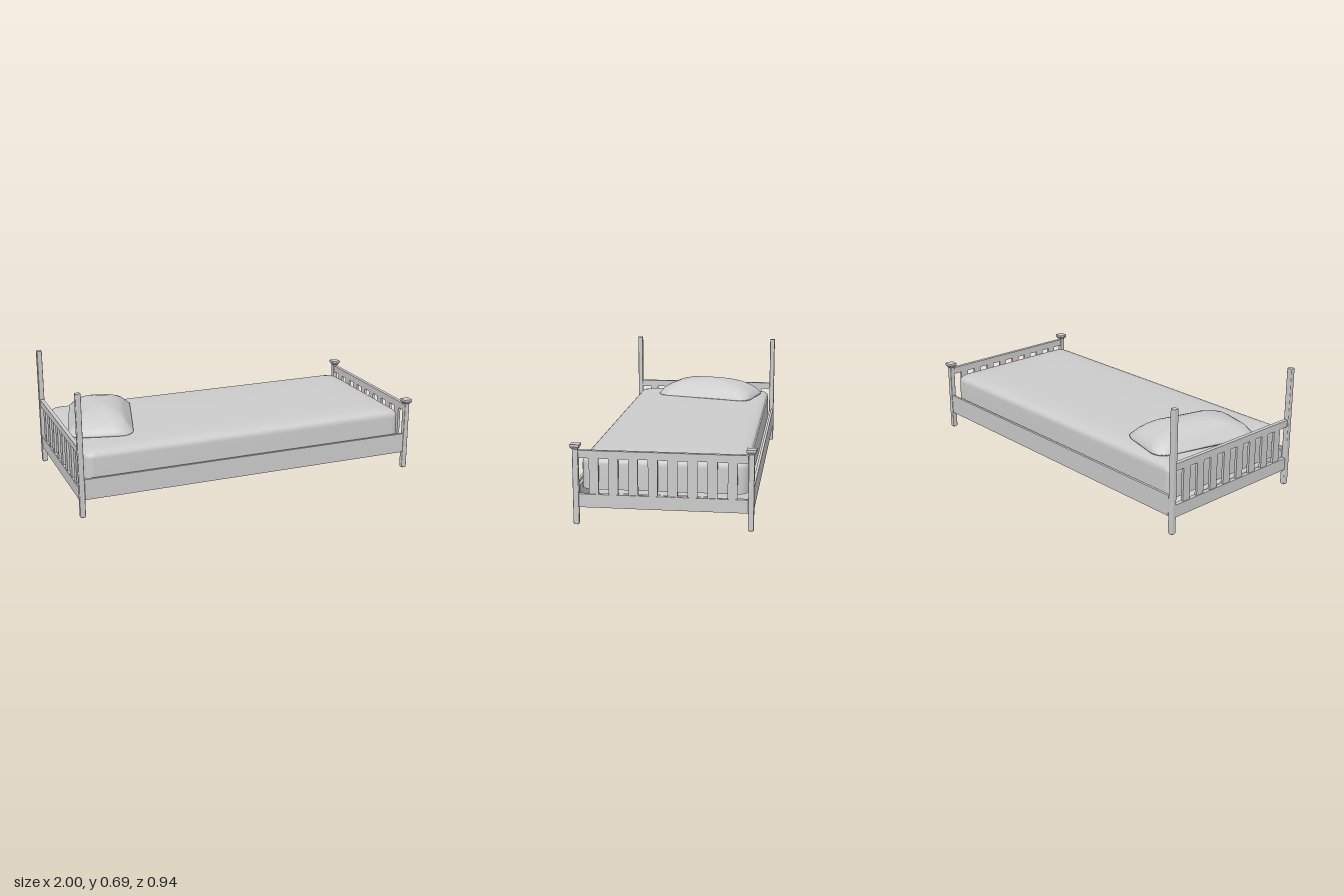
import * as THREE from 'three';

const gray = new THREE.MeshStandardMaterial({ color: 0xcccccc, side: THREE.DoubleSide });
gray.name = 'light gray';

function add(parent, name, geometry, x = 0, y = 0, z = 0) {
  const mesh = new THREE.Mesh(geometry, gray);
  mesh.name = name;
  mesh.position.set(x, y, z);
  parent.add(mesh);
  return mesh;
}

// Box given by its centre in x and z and its bottom and top heights
function box(parent, name, x, z, width, depth, bottom, top) {
  return add(parent, name, new THREE.BoxGeometry(width, top - bottom, depth), x, (bottom + top) / 2, z);
}

// Skin over rounded rectangles stacked upward: [y, half x, half z, corner radius].
// A repeated ring makes a sharp edge; a ring of size zero closes an end.
function loft(rings, cornerSteps = 6) {
  const positions = [], index = [], n = 4 * (cornerSteps + 1);
  for (const [y, hx, hz, r] of rings) {
    for (let c = 0; c < 4; c++) {
      const sx = c === 0 || c === 3 ? 1 : -1, sz = c < 2 ? 1 : -1;
      for (let k = 0; k <= cornerSteps; k++) {
        const a = (c + k / cornerSteps) * Math.PI / 2;
        positions.push(sx * (hx - r) + r * Math.cos(a), y, sz * (hz - r) + r * Math.sin(a));
      }
    }
  }
  for (let j = 0; j < rings.length - 1; j++) {
    for (let i = 0; i < n; i++) {
      const a = j * n + i, an = j * n + (i + 1) % n;
      index.push(a, a + n, an, an, a + n, an + n);
    }
  }
  const g = new THREE.BufferGeometry();
  g.setAttribute('position', new THREE.Float32BufferAttribute(positions, 3));
  g.setIndex(index);
  g.computeVertexNormals();
  return g;
}

// Square post with softened edges and a small bevel at the foot
function postShaft(height) {
  const foot = [0.006, 0.015, 0.015, 0.005], top = [height, 0.015, 0.015, 0.005];
  const tip = [0, 0.011, 0.011, 0.004];
  return loft([[0, 0, 0, 0], tip, tip, foot, foot, top, top, [height, 0, 0, 0]], 3);
}

// Square cap with a tapered underside
function postCap() {
  const neck = [0.398, 0.016, 0.016, 0.001], rim = [0.411, 0.025, 0.025, 0.001];
  const top = [0.424, 0.025, 0.025, 0.001];
  return loft([[0.398, 0, 0, 0], neck, neck, rim, rim, top, top, [0.424, 0, 0, 0]], 1);
}

// Rails and slats between two posts
function endPanel(name, x) {
  const panel = new THREE.Group();
  panel.name = name;
  box(panel, 'lowerRail', x, 0, 0.022, 0.864, 0.093, 0.163);
  box(panel, 'upperRail', x, 0, 0.022, 0.864, 0.352, 0.392);
  for (let i = 0; i < 8; i++) {
    box(panel, 'slat', x, (i - 3.5) * 0.101, 0.014, 0.049, 0.163, 0.352);
  }
  return panel;
}

// Thin arched sheet under the mattress, low at the side rails
function baseSheet(length) {
  const arch = [[0.432, 0.102], [0.37, 0.128], [0.3, 0.152], [0.22, 0.165]];
  const section = [...arch, ...arch.map(([z, y]) => [-z, y]).reverse()];
  const g = new THREE.PlaneGeometry(length, 1, 1, section.length - 1);
  const p = g.attributes.position;
  for (let i = 0; i < p.count; i++) {
    const [z, y] = section[Math.floor(i / 2)];
    p.setXYZ(i, p.getX(i), y, z);
  }
  g.computeVertexNormals();
  return g;
}

export function createModel() {
  const bed = new THREE.Group();
  bed.name = 'bed';
  const headX = -0.985, footX = 0.972, postZ = 0.4475;

  bed.add(endPanel('headboard', headX), endPanel('footboard', footX));

  for (const side of [-1, 1]) {
    // Tall posts at the head, short capped posts at the foot
    add(bed, 'headPost', postShaft(0.688), headX, 0, side * postZ);
    add(bed, 'footPost', postShaft(0.405), footX, 0, side * postZ);
    add(bed, 'postCap', postCap(), footX, 0, side * postZ);

    // Long side rail with a lower ledge along its inside
    box(bed, 'sideRail', -0.0065, side * 0.453, 1.926, 0.014, 0.1, 0.215);
    box(bed, 'sideLedge', -0.0065, side * 0.439, 1.926, 0.014, 0.1, 0.2);
  }

  add(bed, 'baseSheet', baseSheet(1.935), -0.0065);

  // Mattress with flat underside and softly domed top edge
  add(bed, 'mattress', loft([
    [0.18, 0, 0, 0],
    [0.18, 0.953, 0.428, 0.055],
    [0.18, 0.953, 0.428, 0.055],
    [0.31, 0.953, 0.428, 0.055],
    [0.33, 0.949, 0.424, 0.056],
    [0.342, 0.937, 0.412, 0.058],
    [0.351, 0.90, 0.385, 0.06],
    [0.357, 0.83, 0.345, 0.07],
    [0.361, 0.66, 0.25, 0.07],
    [0.362, 0, 0, 0],
  ]), -0.006);

  // Plump pillow, turned on the mattress
  const pillow = add(bed, 'pillow', loft([
    [0.348, 0, 0, 0],
    [0.35, 0.15, 0.28, 0.07],
    [0.358, 0.178, 0.31, 0.075],
    [0.366, 0.179, 0.311, 0.075],
    [0.38, 0.166, 0.302, 0.08],
    [0.4, 0.15, 0.287, 0.08],
    [0.422, 0.132, 0.25, 0.075],
    [0.44, 0.109, 0.206, 0.07],
    [0.455, 0.072, 0.145, 0.05],
    [0.463, 0.039, 0.095, 0.03],
    [0.465, 0, 0, 0],
  ]), -0.735, 0, -0.058);
  pillow.rotation.y = -0.255;

  return bed;
}
